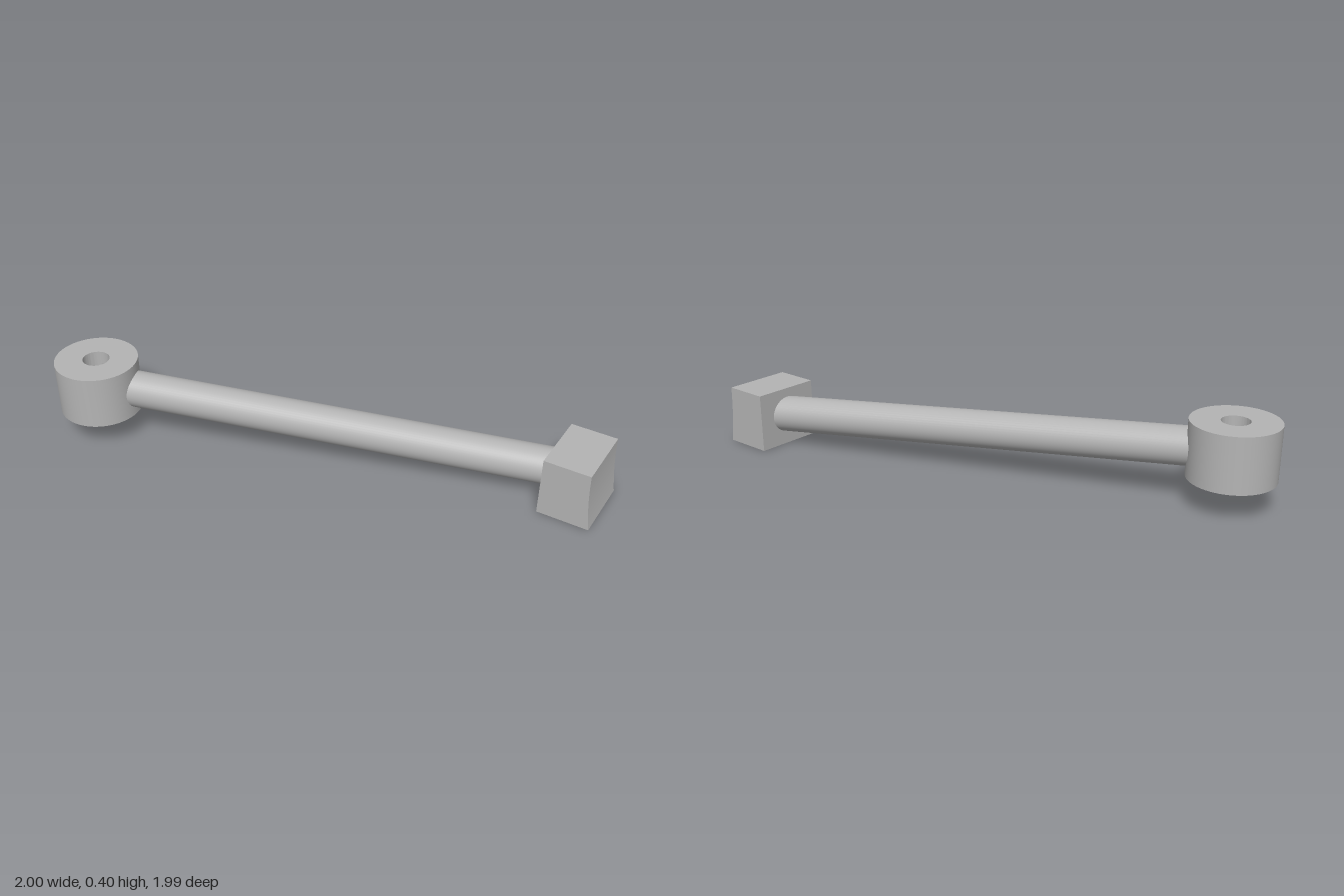
import * as THREE from 'three';
import { toCreasedNormals } from 'three/addons/utils/BufferGeometryUtils.js';

export function createModel() {
  const model = new THREE.Group();
  model.name = 'leverArm';
  const steel = new THREE.MeshStandardMaterial({ color: 0xb4b4b4 });
  steel.name = 'steelGrey';

  const add = (parent, name, geometry) => {
    const mesh = new THREE.Mesh(toCreasedNormals(geometry, 0.5), steel);
    mesh.name = name;
    parent.add(mesh);
    return mesh;
  };

  // Pivot boss: a thick ring with a vertical bore
  const outer = 0.195, bore = 0.063, low = 0.14, high = 0.395;
  const profile = [[bore, low], [outer, low], [outer, high], [bore, high], [bore, low]]
    .map(([r, y]) => new THREE.Vector2(r, y));
  add(model, 'pivotBoss', new THREE.LatheGeometry(profile, 64)).position.set(-0.805, 0, -0.805);

  // Round rod from the centre of the bore into the end block
  const start = new THREE.Vector3(-0.805, 0.267, -0.805);
  const end = new THREE.Vector3(0.8, 0.145, 0.76);
  const along = end.clone().sub(start);
  const rod = add(model, 'rod', new THREE.CylinderGeometry(0.087, 0.087, along.length(), 48));
  rod.position.copy(start).add(end).multiplyScalar(0.5);
  rod.quaternion.setFromUnitVectors(new THREE.Vector3(0, 1, 0), along.normalize());

  // End block, turned about y, with its back face at local z = 0
  const block = new THREE.Group();
  block.name = 'endBlock';
  block.position.set(0.744, 0, 0.7);
  block.rotation.y = 0.478;
  model.add(block);

  const half = 0.162, depth = 0.241, height = 0.28, flare = 0.025;
  const blockSlice = (name, y0, y1, holes) => {
    const shape = new THREE.Shape([[-half, -depth], [half, -depth], [half, 0], [-half, 0]]
      .map(([x, y]) => new THREE.Vector2(x, y)));
    for (const [x, z, r] of holes) {
      shape.holes.push(new THREE.Path().absarc(x, -z, r, 0, Math.PI * 2, true));
    }
    const g = new THREE.ExtrudeGeometry(shape, {
      depth: y1 - y0, steps: 6, curveSegments: 24, bevelEnabled: false,
    });
    g.rotateX(-Math.PI / 2).translate(0, y0, 0);
    // Hollow the front face slightly so it flares out towards the bottom
    const p = g.attributes.position;
    for (let i = 0; i < p.count; i++) {
      if (p.getZ(i) > depth - 0.001) {
        const t = 1 - p.getY(i) / height;
        p.setZ(i, depth - flare + flare * t * t);
      }
    }
    g.computeVertexNormals();
    add(block, name, g);
  };
  // Two blind holes in the underside
  blockSlice('blockLower', 0, 0.12, [[0, 0.16, 0.033], [-0.03, 0.085, 0.033]]);
  blockSlice('blockUpper', 0.12, height, []);

  return model;
}
